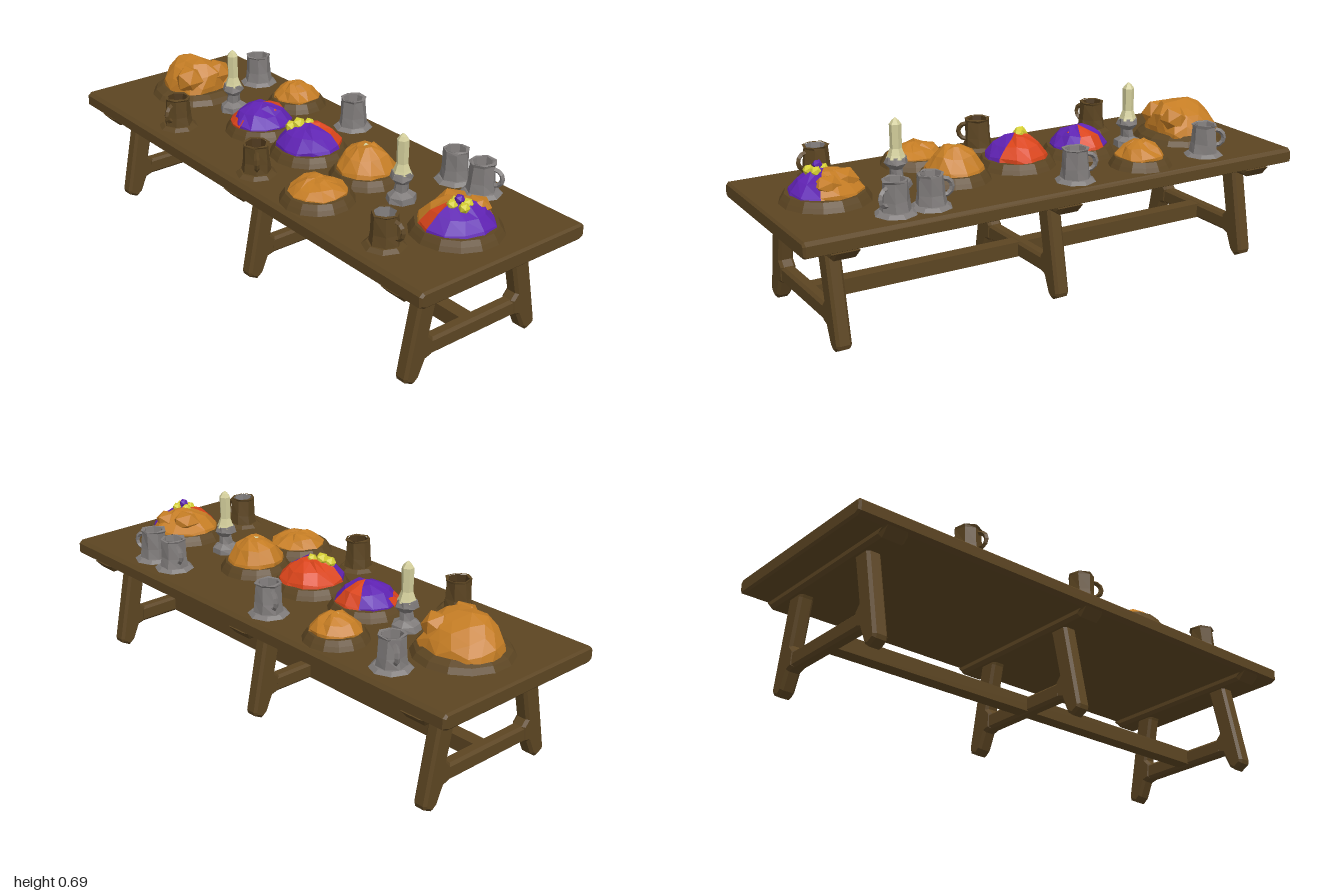
import * as THREE from 'three';

const mat = (name, color, side = THREE.FrontSide) => {
  const m = new THREE.MeshStandardMaterial({ color, side, flatShading: true });
  m.name = name;
  return m;
};

export function createModel() {
  const root = new THREE.Group();
  root.name = 'feastTable';
  const D = THREE.DoubleSide;
  const wood = mat('wood', 0x5c4522);
  const darkWood = mat('dark wood', 0x4a3519, D);
  const orange = mat('roast orange', 0xc57d24, D);
  const purple = mat('purple', 0x5f22b2, D);
  const red = mat('red orange', 0xd9441a, D);
  const yellow = mat('yellow', 0xd6d032);
  const cream = mat('cream wax', 0xd2cd9a);
  const grey = mat('pewter', 0x7f7b7a, D);

  const add = (parent, geo, m, name, x = 0, y = 0, z = 0) => {
    const mesh = new THREE.Mesh(geo, m);
    mesh.name = name;
    mesh.position.set(x, y, z);
    parent.add(mesh);
    return mesh;
  };
  const group = (name, x = 0, y = 0, z = 0) => {
    const g = new THREE.Group();
    g.name = name;
    g.position.set(x, y, z);
    root.add(g);
    return g;
  };
  // Position based wobble, so shared corners stay joined
  const wobble = (geo, amount, seed = 1) => {
    const p = geo.attributes.position;
    for (let i = 0; i < p.count; i++) {
      const [x, y, z] = [p.getX(i), p.getY(i), p.getZ(i)].map(v => Math.round(v * 1000));
      const h = k => {
        const s = Math.sin(x * 12.9898 + y * 78.233 + z * 37.719 + k * 4.1 + seed * 9.7) * 4375.85;
        return (s - Math.floor(s) - 0.5) * 2 * amount;
      };
      p.setXYZ(i, p.getX(i) + h(1), p.getY(i) + h(2), p.getZ(i) + h(3));
    }
    geo.computeVertexNormals();
    return geo;
  };
  const lathe = (pts, n, start = 0, len = Math.PI * 2) =>
    new THREE.LatheGeometry(pts.map(p => new THREE.Vector2(...p)), n, start, len);
  // Side outline in (z, y), given thickness along x
  const slab = (pts, width, bevel) => {
    const g = new THREE.ExtrudeGeometry(new THREE.Shape(pts.map(p => new THREE.Vector2(...p))), {
      depth: width - 2 * bevel, bevelEnabled: true, bevelThickness: bevel,
      bevelSize: bevel, bevelOffset: -bevel, bevelSegments: 1
    });
    g.translate(0, 0, bevel - width / 2);
    return g.rotateY(-Math.PI / 2);
  };

  // Table top
  add(root, slab([[-0.345, 0.382], [0.345, 0.382], [0.367, 0.392], [0.367, 0.43],
    [0.353, 0.442], [-0.353, 0.442], [-0.367, 0.43], [-0.367, 0.392]], 2, 0.008), wood, 'tableTop');

  // Trestles: beam, two splayed legs and a crossbar
  const leg = [[0.235, 0.37], [0.302, 0.035], [0.298, 0.02], [0.264, 0.002], [0.24, 0.02],
    [0.213, 0.08], [0.185, 0.088], [0.18, 0.148], [0.2, 0.17], [0.163, 0.34], [0.15, 0.37]];
  for (const x of [-0.85, 0, 0.85]) {
    const g = group('trestle', x);
    add(g, slab([[-0.33, 0.35], [0.33, 0.35], [0.362, 0.384], [-0.362, 0.384]], 0.1, 0.012), wood, 'beam');
    for (const s of [1, -1])
      add(g, slab(leg.map(([z, y]) => [z * s, y]), 0.056, 0.01), wood, 'leg');
    add(g, slab([[-0.2, 0.086], [0.2, 0.086], [0.2, 0.149], [-0.2, 0.149]], 0.05, 0.01), wood, 'crossbar');
  }
  // Long stretcher
  add(root, slab([[-0.027, 0.09], [0.027, 0.09], [0.027, 0.147], [-0.027, 0.147]], 1.7, 0.008), wood, 'stretcher');

  // Dish with a dome of food; sectors are [material, start, end] in units of PI, 0 = front
  const dish = (name, x, z, r, top, sectors, seed) => {
    const g = group(name, x, 0.44, z);
    add(g, lathe([[r + 0.028, 0], [r + 0.018, 0.018], [r + 0.006, 0.036], [r - 0.02, 0.038], [0, 0.02]], 14),
      wood, 'dish');
    const h = top - 0.468;
    for (const [m, a, b] of sectors) {
      const n = Math.max(1, Math.round((b - a) * 6));
      const geo = lathe([[r, 0.02], [r * 0.96, 0.03 + h * 0.2], [r * 0.68, 0.03 + h * 0.66],
        [r * 0.32, 0.03 + h * 0.95], [0, 0.03 + h]], n, a * Math.PI, (b - a) * Math.PI);
      add(g, wobble(geo, 0.006, seed), m, 'food');
    }
    return g;
  };
  const lump = (g, m, name, r, x, y, z, sy = 1) => {
    const geo = new THREE.IcosahedronGeometry(r, 0);
    geo.scale(1, sy, 1);
    add(g, geo, m, name, x, y, z);
  };

  const crumble = dish('mixedDish', -0.27, 0.02, 0.115, 0.545, [[purple, 0, 5 / 6], [red, 5 / 6, 7 / 6], [purple, 7 / 6, 2]], 2);
  add(crumble, lathe([[0.118, 0.02], [0.119, 0.042], [0.095, 0.064]], 4, Math.PI * 1.55, Math.PI * 0.5), red, 'redEdge');
  lump(crumble, red, 'redFruit', 0.045, 0.035, 0.065, -0.02, 0.8);

  const fruit = dish('fruitDish', 0.01, 0.01, 0.122, 0.555, [[purple, 0, 2 / 3], [red, 2 / 3, 5 / 3], [purple, 5 / 3, 2]], 3);
  lump(fruit, yellow, 'yellowFruit', 0.026, -0.03, 0.112, 0.025);
  lump(fruit, yellow, 'yellowFruit', 0.024, -0.05, 0.1, 0.045);
  lump(fruit, yellow, 'yellowFruit', 0.02, -0.008, 0.115, -0.005);

  const salad = dish('grandDish', 0.77, 0, 0.135, 0.55, [[purple, 0, 5 / 6], [orange, 5 / 6, 11 / 6], [red, 11 / 6, 2]], 4);
  lump(salad, orange, 'roastPiece', 0.06, -0.05, 0.075, -0.03, 0.7);
  lump(salad, orange, 'roastPiece', 0.05, 0.02, 0.075, -0.07, 0.7);
  [[0, 0.01], [0.035, -0.01], [0.01, 0.035], [0.05, 0.02]].forEach(([x, z]) =>
    lump(salad, yellow, 'yellowFruit', 0.02, x, 0.108, z));
  lump(salad, purple, 'topFruit', 0.018, 0.02, 0.125, 0.012);

  for (const [x, z, r, top, seed] of [[-0.38, -0.23, 0.092, 0.535, 5], [0.29, -0.025, 0.11, 0.565, 6], [0.32, 0.22, 0.107, 0.52, 7]]) {
    const g = dish('bakedDish', x, z, r, top, [[orange, 0, 2]], seed);
    if (seed < 7) lump(g, cream, 'butter', 0.018, 0, top - 0.447, 0, 0.6);
  }

  // Large roast with a cut end
  const roast = group('roast', -0.74, 0.44, 0);
  add(roast, lathe([[0.18, 0], [0.165, 0.022], [0.14, 0.036], [0, 0.025]], 14), wood, 'platter', 0, 0, 0.005);
  const body = new THREE.IcosahedronGeometry(1, 2);
  const p = body.attributes.position;
  for (let i = 0; i < p.count; i++) {
    const x = Math.min(p.getX(i) * 0.155, 0.115), z = p.getZ(i) * 0.135;
    const y = Math.max(0, p.getY(i)) * 0.145 * (z < -0.04 ? 0.88 : 1) + 0.012;
    p.setXYZ(i, x, y, z);
  }
  add(roast, wobble(body, 0.008, 8), orange, 'roastBody');
  lump(roast, orange, 'drumstick', 0.06, 0.06, 0.085, 0.075);
  lump(roast, orange, 'drumstick', 0.055, 0.07, 0.09, -0.05);

  // Candles on pewter holders
  for (const x of [-0.485, 0.502]) {
    const g = group('candle', x, 0.44, 0);
    add(g, wobble(lathe([[0.055, 0], [0.05, 0.025], [0.026, 0.04], [0.024, 0.07], [0.042, 0.088], [0.034, 0.11], [0, 0.11]], 7), 0.003), grey, 'holder');
    add(g, lathe([[0.036, 0.105], [0.03, 0.118], [0.021, 0.142], [0.022, 0.228], [0.012, 0.242], [0, 0.252]], 6), cream, 'wax');
  }

  // Mugs, each on a low mound of wood
  const mug = (x, z, m, inner, turn) => {
    const g = group('mug', x, 0.44, z);
    add(g, lathe([[0.078, 0], [0.06, 0.014], [0, 0.018]], 8), m === grey ? grey : wood, 'mugFoot');
    add(g, wobble(lathe([[0.056, 0.008], [0.049, 0.05], [0.046, 0.112], [0.05, 0.12], [0.038, 0.12]], 7), 0.003, x), m, 'mugBody');
    add(g, lathe([[0.039, 0.12], [0.034, 0.085], [0, 0.08]], 7), inner, 'mugInside');
    const handle = add(g, new THREE.TorusGeometry(0.03, 0.009, 4, 6, Math.PI), m, 'mugHandle',
      Math.cos(turn) * 0.044, 0.068, -Math.sin(turn) * 0.044);
    handle.rotation.set(0, turn, -Math.PI / 2);
  };
  mug(-0.66, -0.25, grey, grey, 2.6);
  mug(-0.07, -0.265, grey, grey, 2.8);
  mug(0.5, -0.255, grey, grey, 2.9);
  mug(0.63, -0.255, grey, grey, 0.4);
  mug(-0.49, 0.255, wood, darkWood, -1.2);
  mug(0.03, 0.265, wood, darkWood, -0.6);
  mug(0.7, 0.25, wood, grey, 0.2);

  return root;
}
